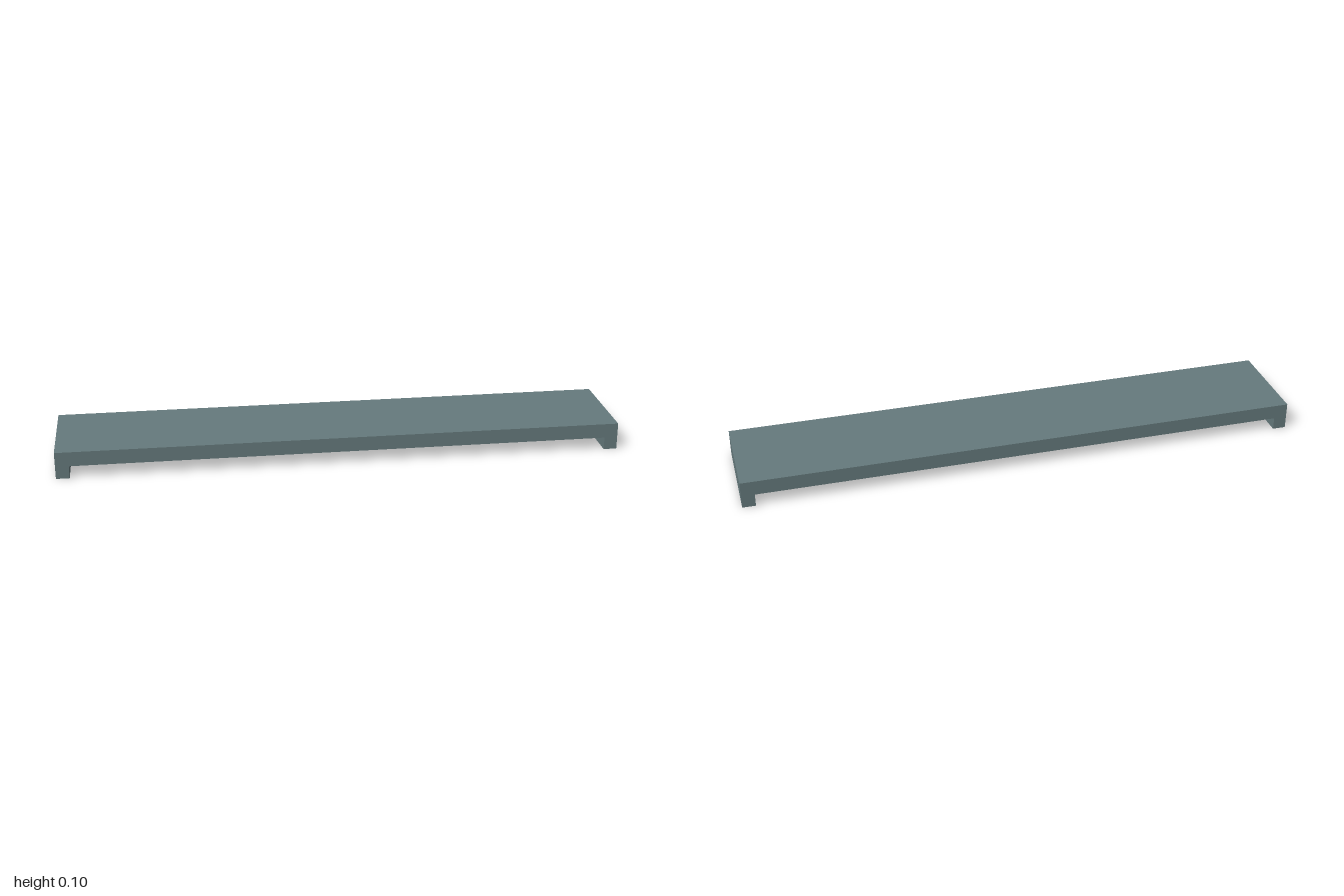
import * as THREE from 'three';

const HALF_DEPTH = 0.177, TOP = 0.097, UNDERSIDE = 0.045;
const CAP = 0.047, INNER = 1 - CAP;          // end cap thickness, inner face position
const RECESS_HALF = 0.1, RECESS_TOP = 0.083;
const TUBE_RADIUS = 0.033, TUBE_Y = 0.045;

export function createModel() {
  const group = new THREE.Group();
  const housingMat = new THREE.MeshStandardMaterial({ color: 0x667a7d });
  const tubeMat = new THREE.MeshStandardMaterial({ color: 0xb8b0b6 });

  const add = (name, geometry, material) => {
    const mesh = new THREE.Mesh(geometry, material);
    mesh.name = name;
    group.add(mesh);
    return mesh;
  };

  // Housing: slab with a recess along its underside, extruded along x
  const profile = new THREE.Shape([
    [-HALF_DEPTH, UNDERSIDE], [-RECESS_HALF, UNDERSIDE],
    [-RECESS_HALF, RECESS_TOP], [RECESS_HALF, RECESS_TOP],
    [RECESS_HALF, UNDERSIDE], [HALF_DEPTH, UNDERSIDE],
    [HALF_DEPTH, TOP], [-HALF_DEPTH, TOP],
  ].map(([z, y]) => new THREE.Vector2(z, y)));
  const housing = new THREE.ExtrudeGeometry(profile, { depth: 2 * INNER, bevelEnabled: false });
  housing.translate(0, 0, -INNER).rotateY(Math.PI / 2);
  add('housing', housing, housingMat);

  // End caps reaching down to the ground
  for (const [name, side] of [['leftEndCap', 1], ['rightEndCap', -1]]) {
    add(name, new THREE.BoxGeometry(CAP, TOP, 2 * HALF_DEPTH), housingMat)
      .position.set(side * (1 - CAP / 2), TOP / 2, 0);
  }

  // Lamp tube held between the caps
  const tube = new THREE.CylinderGeometry(TUBE_RADIUS, TUBE_RADIUS, 2 * INNER, 32);
  tube.rotateZ(Math.PI / 2);
  add('lampTube', tube, tubeMat).position.y = TUBE_Y;

  return group;
}
